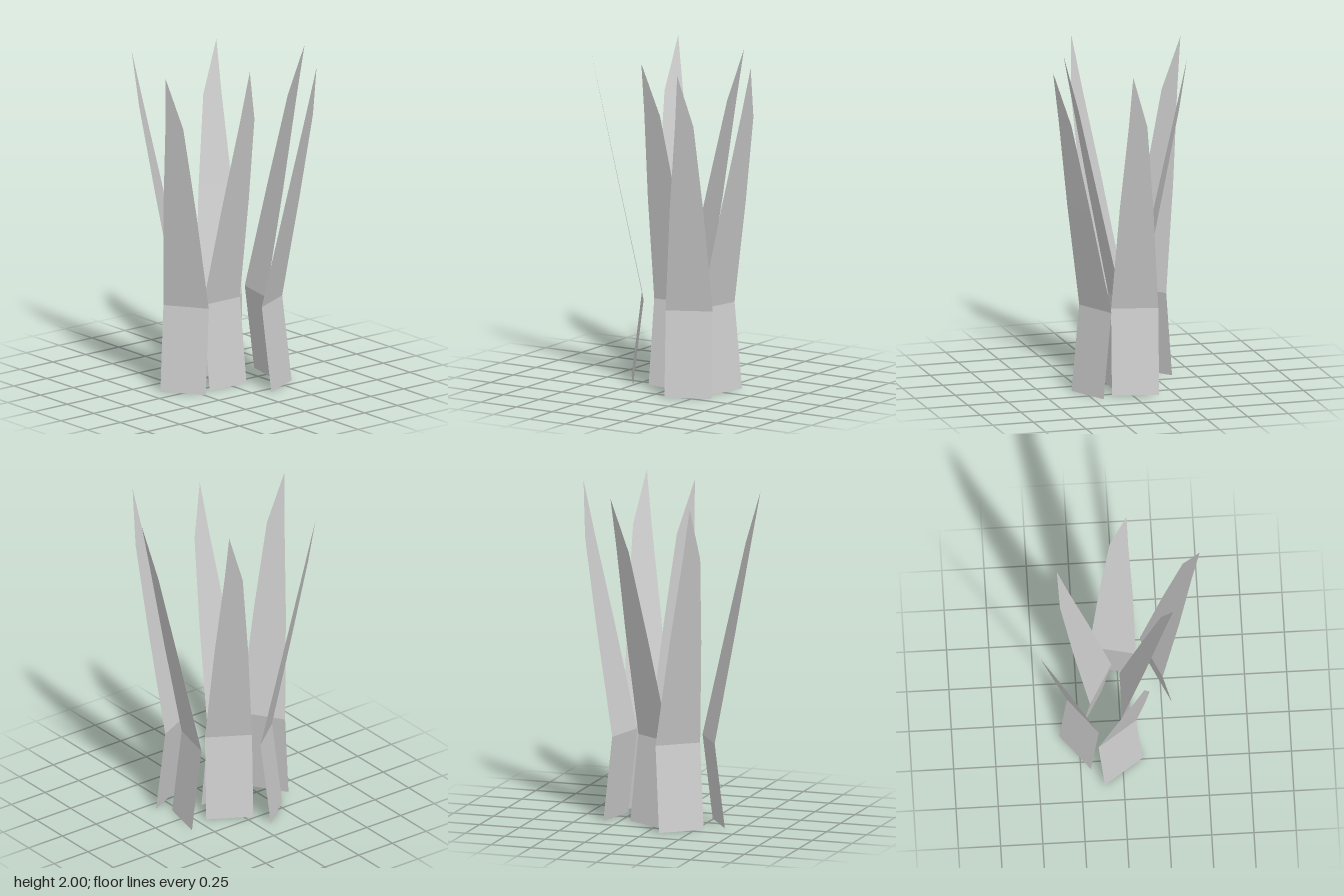
import * as THREE from 'three';

// Cross-sections of one blade, bottom to top: [height, outward lean, left edge, right edge]
const ROWS = [
  [0, 0.062, -0.14, 0.14],
  [0.515, 0, -0.14, 0.14],
  [1.15, 0.133, -0.1, 0.1],
  [1.68, 0.242, -0.055, 0.055],
  [2, 0.308, 0.034, 0.034],
];

// Where each blade stands: [x, z, direction of lean in degrees from +x towards +z]
const BLADES = [
  [-0.031, -0.255, -77.6],
  [0.195, -0.198, -25.5],
  [0.002, 0.03, 0],
  [-0.032, 0.2715, 55.7],
  [-0.2295, 0.1485, 141.1],
  [-0.113, -0.0435, -150],
];

// Thin sheet lofted through the rows, ending in a single-triangle tip
function bladeGeometry() {
  const positions = [];
  const left = ([y, out, l]) => [out, y, l];
  const right = ([y, out, , r]) => [out, y, r];
  for (let i = 0; i < ROWS.length - 1; i++) {
    const a = ROWS[i], b = ROWS[i + 1];
    positions.push(...left(a), ...left(b), ...right(a));
    if (i < ROWS.length - 2) positions.push(...right(a), ...left(b), ...right(b));
  }
  const geometry = new THREE.BufferGeometry();
  geometry.setAttribute('position', new THREE.Float32BufferAttribute(positions, 3));
  geometry.computeVertexNormals();
  return geometry;
}

export function createModel() {
  const group = new THREE.Group();
  group.name = 'grassTuft';
  const geometry = bladeGeometry();
  const material = new THREE.MeshStandardMaterial({
    color: 0xcccccc, flatShading: true, side: THREE.DoubleSide,
  });

  // Same blade, turned and placed around the tuft
  BLADES.forEach(([x, z, angle], i) => {
    const blade = new THREE.Mesh(geometry, material);
    blade.name = `grassBlade${i + 1}`;
    blade.position.set(x, 0, z);
    blade.rotation.y = -THREE.MathUtils.degToRad(angle);
    group.add(blade);
  });
  return group;
}
